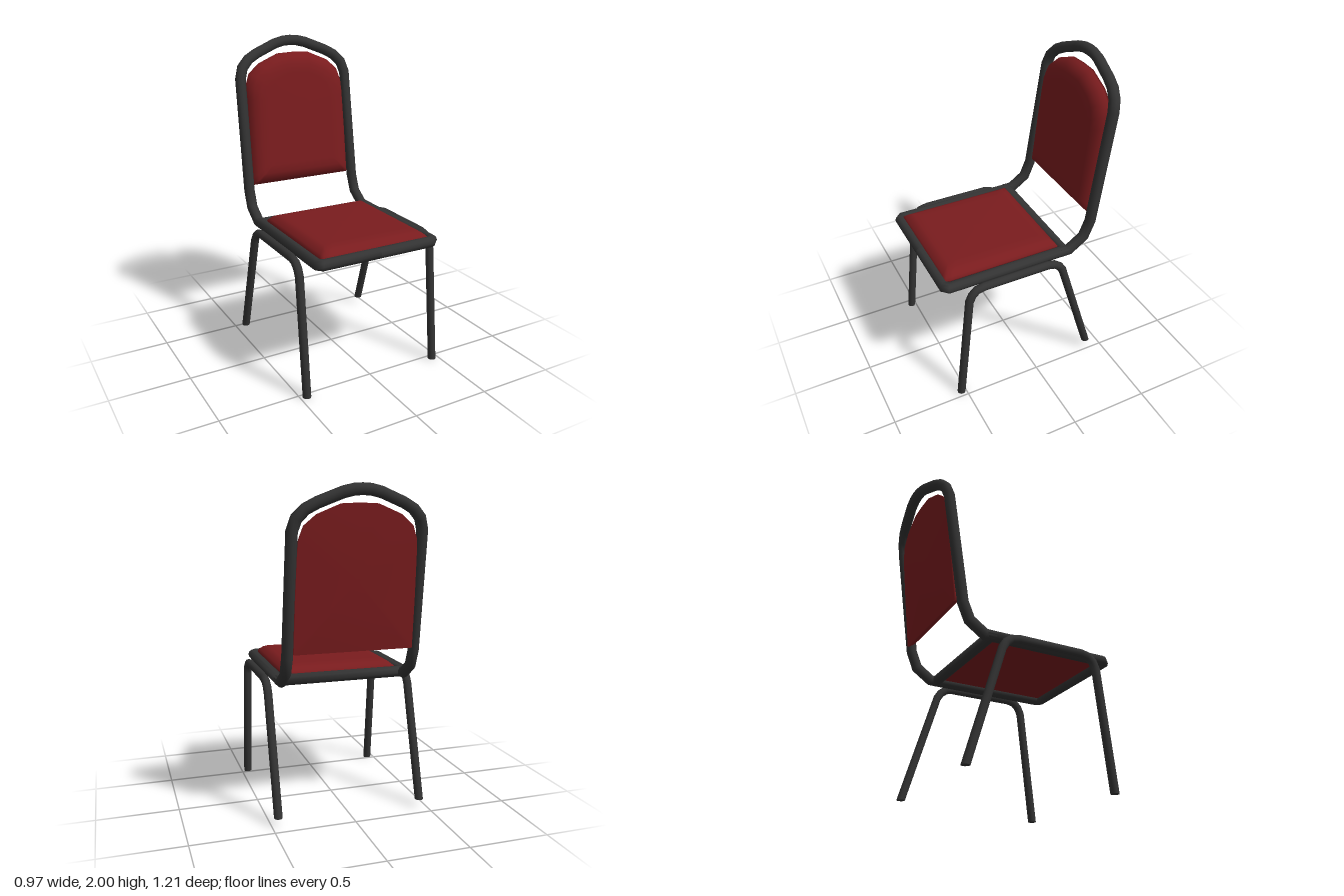
import * as THREE from 'three';

const V = (x, y, z) => new THREE.Vector3(x, y, z);
const frameMat = new THREE.MeshStandardMaterial({ color: 0x333333 });
const padMat = new THREE.MeshStandardMaterial({ color: 0x7a1c1e });

// Skin a list of equal-length vertex rings
function loft(rings) {
  const n = rings[0].length, pos = [], idx = [];
  rings.forEach(r => r.forEach(p => pos.push(p.x, p.y, p.z)));
  for (let i = 0; i < rings.length - 1; i++) {
    for (let j = 0; j < n; j++) {
      const a = i * n + j, b = i * n + (j + 1) % n;
      idx.push(a, b, a + n, b, b + n, a + n);
    }
  }
  const g = new THREE.BufferGeometry();
  g.setAttribute('position', new THREE.Float32BufferAttribute(pos, 3));
  g.setIndex(idx);
  g.computeVertexNormals();
  return g;
}

const collapse = ring => {
  const c = V(0, 0, 0);
  ring.forEach(p => c.add(p));
  c.divideScalar(ring.length);
  return ring.map(() => c.clone());
};
const copy = ring => ring.map(p => p.clone());

// Round tube along a polyline with mitred joints; endNormal sets the cut of both ends
function tube(pts, radius, endNormal, sides = 10) {
  const dirs = pts.slice(1).map((p, i) => p.clone().sub(pts[i]).normalize());
  const d0 = dirs[0];
  const u = V(1, 0, 0).addScaledVector(d0, -d0.x);
  if (u.length() < 0.1) u.set(0, 1, 0);
  u.normalize();
  const v = d0.clone().cross(u);
  let ring = Array.from({ length: sides }, (_, j) => {
    const a = (j + 0.5) / sides * Math.PI * 2;
    return pts[0].clone().addScaledVector(u, radius * Math.cos(a)).addScaledVector(v, radius * Math.sin(a));
  });
  const rings = pts.map((p, i) => {
    const din = dirs[Math.max(i - 1, 0)], dout = dirs[Math.min(i, dirs.length - 1)];
    const isEnd = i === 0 || i === pts.length - 1;
    const nrm = isEnd && endNormal ? endNormal : din.clone().add(dout).normalize();
    ring = ring.map(q => q.clone().addScaledVector(din, p.clone().sub(q).dot(nrm) / din.dot(nrm)));
    return ring;
  });
  const last = rings[rings.length - 1];
  return loft([collapse(rings[0]), copy(rings[0]), ...rings, copy(last), collapse(last)]);
}

// Cushion: an outline stacked in z through [inset, depth] layers
function pad(outline, hx, hy, layers) {
  const rings = layers.map(([inset, z]) =>
    outline.map(([x, y]) => V(x * (1 - inset / hx), y * (1 - inset / hy), z)));
  return loft([collapse(rings[0]), ...rings, collapse(rings[rings.length - 1])]);
}

export function createModel() {
  const model = new THREE.Group();
  const add = (name, geo, mat) => {
    const m = new THREE.Mesh(geo, mat);
    m.name = name;
    model.add(m);
    return m;
  };

  // Seat frame: closed rectangle with clipped front corners
  const y = 0.846, x = 0.394, zf = 0.573, zb = -0.226, c = 0.025;
  add('seatFrame', tube([
    V(0, y, zf), V(x - c, y, zf), V(x, y, zf - c), V(x, y, zb),
    V(-x, y, zb), V(-x, y, zf - c), V(-x + c, y, zf), V(0, y, zf),
  ], 0.034), frameMat);

  // Back frame: rises from the seat rails and arches over the top
  const half = [
    [0.394, 0.846, -0.2], [0.394, 0.846, -0.265], [0.394, 0.915, -0.365], [0.393, 1.02, -0.408],
    [0.385, 1.74, -0.51], [0.363, 1.81, -0.525], [0.315, 1.86, -0.54],
    [0.25, 1.895, -0.551], [0.11, 1.95, -0.57], [0.05, 1.964, -0.574],
  ];
  add('backFrame', tube([
    ...half.map(p => V(...p)), V(0, 1.967, -0.575),
    ...half.slice().reverse().map(([px, py, pz]) => V(-px, py, pz)),
  ], 0.034), frameMat);

  // Legs: one bent tube per side, front foot to rear foot
  const legPath = [
    [0, 0.53], [0.745, 0.452], [0.79, 0.432], [0.82, 0.4], [0.83, 0.35],
    [0.83, -0.08], [0.82, -0.125], [0.795, -0.16], [0.755, -0.186], [0.048, -0.405],
  ];
  for (const [name, s] of [['leftLegs', 1], ['rightLegs', -1]]) {
    add(name, tube(legPath.map(([py, pz]) => V(s * 0.458, py, pz)), 0.026, V(0, 1, 0)), frameMat);
  }

  // Seat cushion
  const seatOutline = [];
  const sx = 0.362, sz = 0.382;
  const corners = [[-sx, -sz], [sx, -sz], [sx, sz], [-sx, sz]];
  corners.forEach(([ax, ay], i) => {
    const [bx, by] = corners[(i + 1) % 4];
    for (const t of [0, 0.06, 0.35, 0.65, 0.94]) seatOutline.push([ax + (bx - ax) * t, ay + (by - ay) * t]);
  });
  const seat = add('seatCushion', pad(seatOutline, sx, sz,
    [[0, 0], [0, 0.02], [0.012, 0.034], [0.032, 0.052], [0.06, 0.064], [0.12, 0.066]]), padMat);
  seat.rotation.x = -Math.PI / 2;
  seat.position.set(0, 0.85, 0.18);

  // Back cushion: arched outline, leaning back with the frame
  const side = [
    [0.2, -0.425], [0.34, -0.425], [0.365, -0.425], [0.364, -0.38], [0.361, -0.1], [0.355, 0.15],
    [0.349, 0.23], [0.322, 0.305], [0.25, 0.367], [0.11, 0.425],
  ];
  const backOutline = [...side, [0, 0.43], ...side.slice().reverse().map(([px, py]) => [-px, py])];
  const back = add('backCushion', pad(backOutline, 0.365, 0.43,
    [[0, 0], [0, 0.014], [0.012, 0.04], [0.035, 0.066], [0.075, 0.082], [0.13, 0.086]]), padMat);
  back.rotation.x = -0.106;
  back.position.set(0, 1.465, -0.495);

  return model;
}
